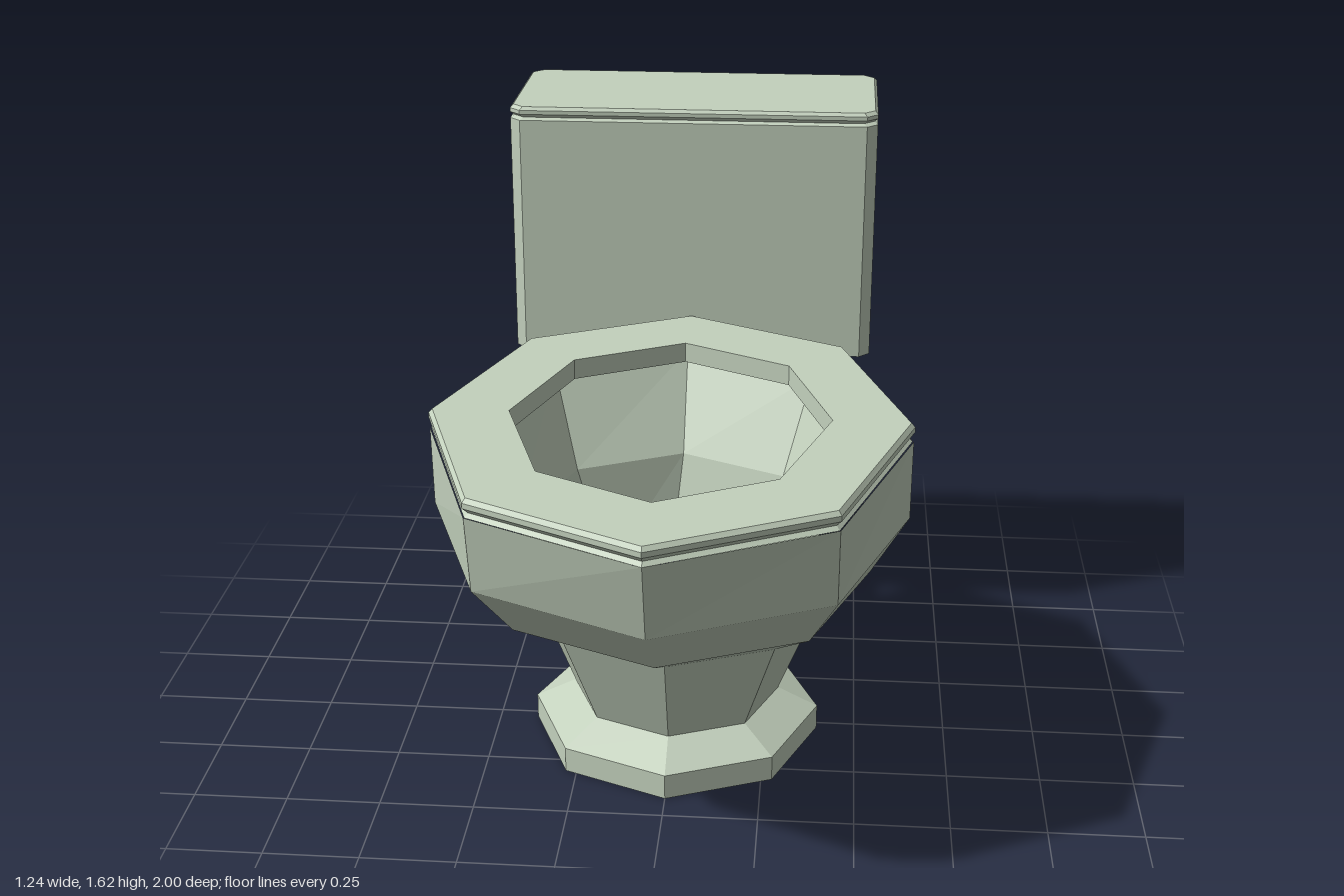
import * as THREE from 'three';

const ceramic = new THREE.MeshStandardMaterial({ name: 'paleGreenCeramic', color: 0xc3d1bd, flatShading: true });
const brown = new THREE.MeshStandardMaterial({ name: 'brownPipe', color: 0x6b5f4f, flatShading: true, side: THREE.DoubleSide });
const blue = new THREE.MeshStandardMaterial({ name: 'darkBlueWater', color: 0x3a3869, flatShading: true });

// Eight-sided horizontal ring with a corner at the front
function octagon(y, rx, rz = rx, cz = 0.025, cx = 0) {
  return Array.from({ length: 8 }, (_, i) => {
    const a = (i * Math.PI) / 4;
    return new THREE.Vector3(cx + rx * Math.sin(a), y, cz + rz * Math.cos(a));
  });
}

// Rectangle with chamfered corners, shrunk by inset
function tankRing(y, inset = 0) {
  const w = 0.513 - inset, d = 0.2375 - inset, c = 0.03, z = -0.7625;
  return [[-w + c, d], [w - c, d], [w, d - c], [w, c - d], [w - c, -d], [c - w, -d], [-w, c - d], [-w, d - c]]
    .map(([px, pz]) => new THREE.Vector3(px, y, z + pz));
}

// All points of a ring gathered at one spot, to close an end
function point(y, z) {
  return Array.from({ length: 8 }, () => new THREE.Vector3(0, y, z));
}

// Joins successive rings with flat faces, skipping collapsed ones
function loft(name, rings, material) {
  const pos = [];
  const tri = (a, b, c) => {
    const n = b.clone().sub(a).cross(c.clone().sub(a));
    if (n.length() > 1e-9) pos.push(...a, ...b, ...c);
  };
  for (let k = 0; k < rings.length - 1; k++) {
    const lo = rings[k], hi = rings[k + 1];
    for (let i = 0; i < lo.length; i++) {
      const j = (i + 1) % lo.length;
      tri(lo[i], lo[j], hi[j]);
      tri(lo[i], hi[j], hi[i]);
    }
  }
  const geometry = new THREE.BufferGeometry();
  geometry.setAttribute('position', new THREE.Float32BufferAttribute(pos, 3));
  geometry.computeVertexNormals();
  const mesh = new THREE.Mesh(geometry, material);
  mesh.name = name;
  return mesh;
}

export function createModel() {
  const model = new THREE.Group();
  model.name = 'toilet';

  // Foot, hollow underneath
  model.add(loft('foot', [
    point(0.07, 0.025),
    octagon(0.07, 0.385),
    octagon(0, 0.385),
    octagon(0, 0.395),
    octagon(0.07, 0.395),
    octagon(0.125, 0.285),
  ], ceramic));

  // Outside of the pedestal and bowl
  model.add(loft('bowl', [
    octagon(0.125, 0.285),
    octagon(0.4, 0.396),
    octagon(0.555, 0.525, 0.56, 0.14),
    octagon(0.755, 0.618, 0.7, 0.225),
    octagon(0.975, 0.618, 0.755, 0.24),
  ], ceramic));

  // Seat rim with bevelled edges and a short inner lip
  const seat = (y, d) => octagon(y, 0.62 - d, 0.7625 - d, 0.2375);
  model.add(loft('seat', [
    seat(0.975, 0.005), seat(0.985, 0.016), seat(1.0, 0), seat(1.014, 0), seat(1.025, 0.01),
    octagon(1.025, 0.412, 0.525, 0.235),
    octagon(0.97, 0.412, 0.525, 0.235),
    octagon(0.97, 0.5, 0.62, 0.235),
  ], ceramic));

  // Inside of the bowl
  model.add(loft('basin', [
    octagon(0.97, 0.5, 0.62, 0.235),
    octagon(0.72, 0.4, 0.46, 0.235),
    octagon(0.42, 0.242, 0.25, 0.085, -0.03),
  ], ceramic));

  // Water in a tapered well
  model.add(loft('water', [
    octagon(0.42, 0.242, 0.25, 0.085, -0.03),
    octagon(0.3, 0.19, 0.19, 0.06, -0.03),
    point(0.3, 0.06),
  ], blue));

  // Tank, open at the bottom
  model.add(loft('tank', [
    point(1.57, -0.7625),
    tankRing(1.57, 0.008), tankRing(0.91, 0.008),
    tankRing(0.91), tankRing(1.585),
  ], ceramic));
  model.add(loft('tankLid', [
    tankRing(1.585), tankRing(1.592, 0.01), tankRing(1.602, 0),
    tankRing(1.613, 0), tankRing(1.622, 0.008), point(1.622, -0.7625),
  ], ceramic));

  // Bent pipe: each section is [outer z, outer y, inner z, inner y]
  const sections = [
    [-0.36, 0.48, -0.36, 0.64],
    [-0.75, 0.595, -0.62, 0.69],
    [-0.83, 0.79, -0.655, 0.78],
    [-0.83, 0.93, -0.655, 0.93],
  ];
  const k = 1 / Math.cos(Math.PI / 8);
  model.add(loft('pipe', sections.map(([oz, oy, iz, iy]) =>
    Array.from({ length: 8 }, (_, i) => {
      const a = ((i + 0.5) * Math.PI) / 4, s = Math.cos(a) * k / 2;
      return new THREE.Vector3(0.088 * k * Math.sin(a), (oy + iy) / 2 + (iy - oy) * s, (oz + iz) / 2 + (iz - oz) * s);
    })), brown));

  return model;
}
